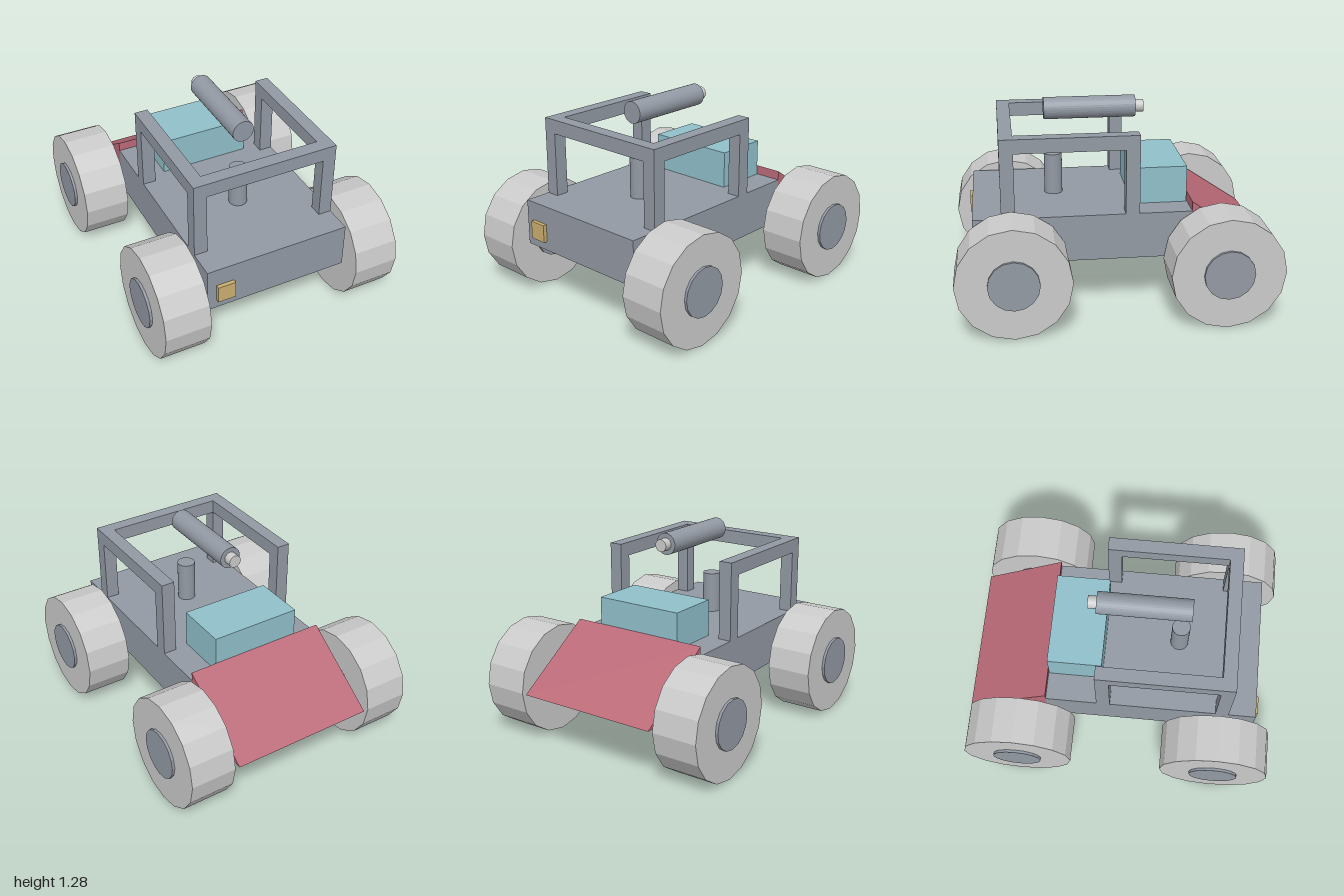
import * as THREE from 'three';

function material(name, color) {
  const m = new THREE.MeshStandardMaterial({ color, flatShading: true });
  m.name = name;
  return m;
}

export function createModel() {
  const model = new THREE.Group();
  model.name = 'buggy';
  const grey = material('body grey', 0x9299a3);
  const light = material('light grey', 0xcacaca);
  const red = material('red', 0xbb6a78);
  const cyan = material('pale cyan', 0x90bfca);
  const amber = material('amber', 0xcaae70);

  function add(name, geometry, mat, x = 0, y = 0, z = 0) {
    const mesh = new THREE.Mesh(geometry, mat);
    mesh.name = name;
    mesh.position.set(x, y, z);
    model.add(mesh);
    return mesh;
  }
  // Box given by its limits on each axis
  function box(name, mat, [x0, x1], [y0, y1], [z0, z1]) {
    return add(name, new THREE.BoxGeometry(x1 - x0, y1 - y0, z1 - z0), mat,
      (x0 + x1) / 2, (y0 + y1) / 2, (z0 + z1) / 2);
  }

  // Chassis and headlamp
  box('chassis', grey, [-0.47, 0.47], [0.355, 0.65], [-0.475, 0.88]);
  box('headlamp', amber, [-0.41, -0.295], [0.415, 0.53], [0.88, 0.905]);

  // Sloping tail wedge, drawn in side profile and extruded across the width
  const profile = new THREE.Shape([
    new THREE.Vector2(0.475, 0.355),
    new THREE.Vector2(1, 0.355),
    new THREE.Vector2(0.475, 0.71),
  ]);
  const wedge = new THREE.ExtrudeGeometry(profile, { depth: 0.94, bevelEnabled: false });
  wedge.translate(0, 0, -0.47).rotateY(Math.PI / 2);
  add('tailWedge', wedge, red);

  // Cargo box
  box('cargoBox', cyan, [-0.295, 0.295], [0.65, 0.885], [-0.47, -0.125]);

  // Roll cage: two side frames joined by a front crossbar
  for (const s of [-1, 1]) {
    const xs = s > 0 ? [0.385, 0.47] : [-0.47, -0.385];
    box('frontPost', grey, xs, [0.65, 1.06], [0.62, 0.705]);
    box('rearPost', grey, xs, [0.65, 1.06], [-0.147, -0.06]);
    box('sideRail', grey, xs, [1.06, 1.15], [-0.147, 0.705]);
  }
  box('frontCrossbar', grey, [-0.385, 0.385], [1.06, 1.15], [0.62, 0.705]);

  // Seat column
  add('column', new THREE.CylinderGeometry(0.058, 0.058, 0.265, 32), grey, 0, 0.7825, 0.355);

  // Roof tube with its nozzle pointing back
  const tube = new THREE.CylinderGeometry(0.07, 0.07, 0.585, 32).rotateX(Math.PI / 2);
  add('roofTube', tube, grey, 0, 1.21, 0.1175);
  const nozzle = new THREE.CylinderGeometry(0.04, 0.04, 0.055, 32).rotateX(Math.PI / 2);
  add('nozzle', nozzle, light, 0, 1.21, -0.2025);

  // Wheels: faceted tyres with hubs standing proud on both sides
  const tyre = new THREE.CylinderGeometry(0.353, 0.353, 0.294, 16).rotateZ(Math.PI / 2);
  const hub = new THREE.CylinderGeometry(0.157, 0.157, 0.328, 16).rotateZ(Math.PI / 2);
  for (const x of [-0.646, 0.646]) {
    for (const z of [-0.647, 0.647]) {
      add('tyre', tyre, light, x, 0.355, z);
      add('hub', hub, grey, x, 0.355, z);
    }
  }
  return model;
}
